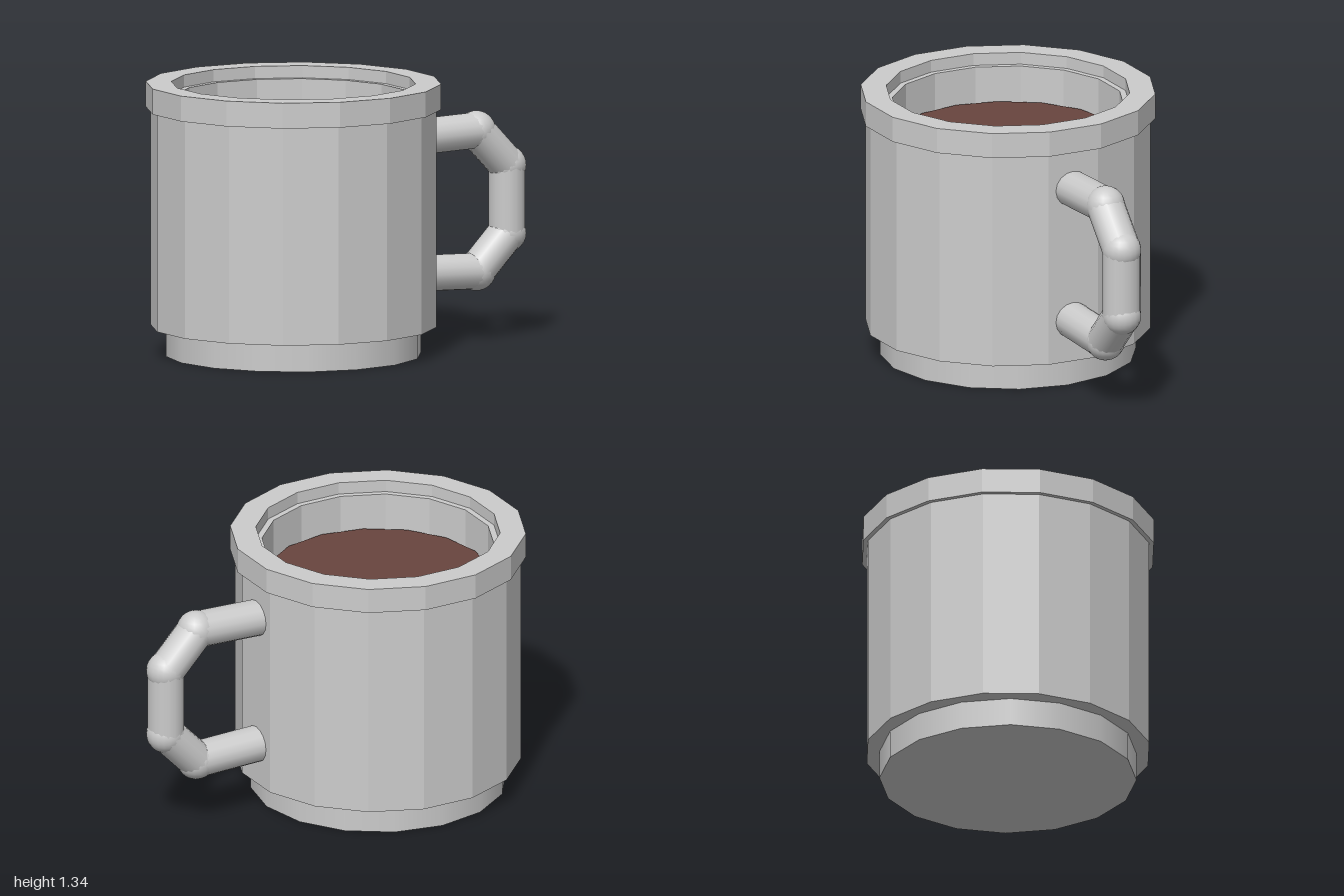
import * as THREE from 'three';

const SIDES = 16;
const CENTER_X = -0.293;

const grey = () => new THREE.MeshStandardMaterial({ color: 0xcccccc });

// Faceted ring or shell turned from a profile of [radius, y], flats facing the axes
function facetedLathe(name, profile) {
  const points = profile.map(([r, y]) => new THREE.Vector2(r, y));
  const geometry = new THREE.LatheGeometry(points, SIDES, Math.PI / SIDES);
  const material = grey();
  material.flatShading = true;
  const mesh = new THREE.Mesh(geometry, material);
  mesh.name = name;
  return mesh;
}

function disc(name, radius, bottom, top, material) {
  const mesh = new THREE.Mesh(new THREE.CylinderGeometry(radius, radius, top - bottom, SIDES), material);
  mesh.position.y = (bottom + top) / 2;
  mesh.name = name;
  return mesh;
}

// Handle: straight rods joined by ball elbows, in the xy plane
function createHandle() {
  const handle = new THREE.Group();
  handle.name = 'handle';
  const path = [[0.33, 1.017], [0.73, 1.03], [0.9, 0.85], [0.9, 0.515], [0.73, 0.338], [0.33, 0.351]]
    .map(([x, y]) => new THREE.Vector2(x, y));

  for (let i = 0; i < path.length - 1; i++) {
    const a = path[i], b = path[i + 1];
    const rod = new THREE.Mesh(new THREE.CylinderGeometry(1, 1, a.distanceTo(b), 16), grey());
    rod.scale.set(0.089, 1, 0.095);
    rod.position.set((a.x + b.x) / 2, (a.y + b.y) / 2, 0);
    rod.rotation.z = Math.atan2(b.y - a.y, b.x - a.x) - Math.PI / 2;
    rod.name = `handleRod${i + 1}`;
    handle.add(rod);
  }
  for (let i = 1; i < path.length - 1; i++) {
    const elbow = new THREE.Mesh(new THREE.SphereGeometry(0.096, 20, 14), grey());
    elbow.position.set(path[i].x, path[i].y, 0);
    elbow.name = `handleElbow${i}`;
    handle.add(elbow);
  }
  return handle;
}

export function createModel() {
  const mug = new THREE.Group();
  mug.name = 'mug';

  const vessel = new THREE.Group();
  vessel.name = 'vessel';
  vessel.position.x = CENTER_X;
  vessel.add(
    disc('base', 0.626, 0, 0.15, grey()),
    // Hollow body, its top forming a small ledge inside the rim
    facetedLathe('body', [[0, 0.14], [0.698, 0.14], [0.698, 1.275], [0.566, 1.275], [0.566, 0.25], [0, 0.25]]),
    facetedLathe('rim', [[0.596, 1.21], [0.721, 1.21], [0.721, 1.335], [0.596, 1.335], [0.596, 1.21]]),
    disc('drink', 0.548, 1.05, 1.1, new THREE.MeshStandardMaterial({ color: 0x68453e })),
  );

  mug.add(vessel, createHandle());
  return mug;
}
